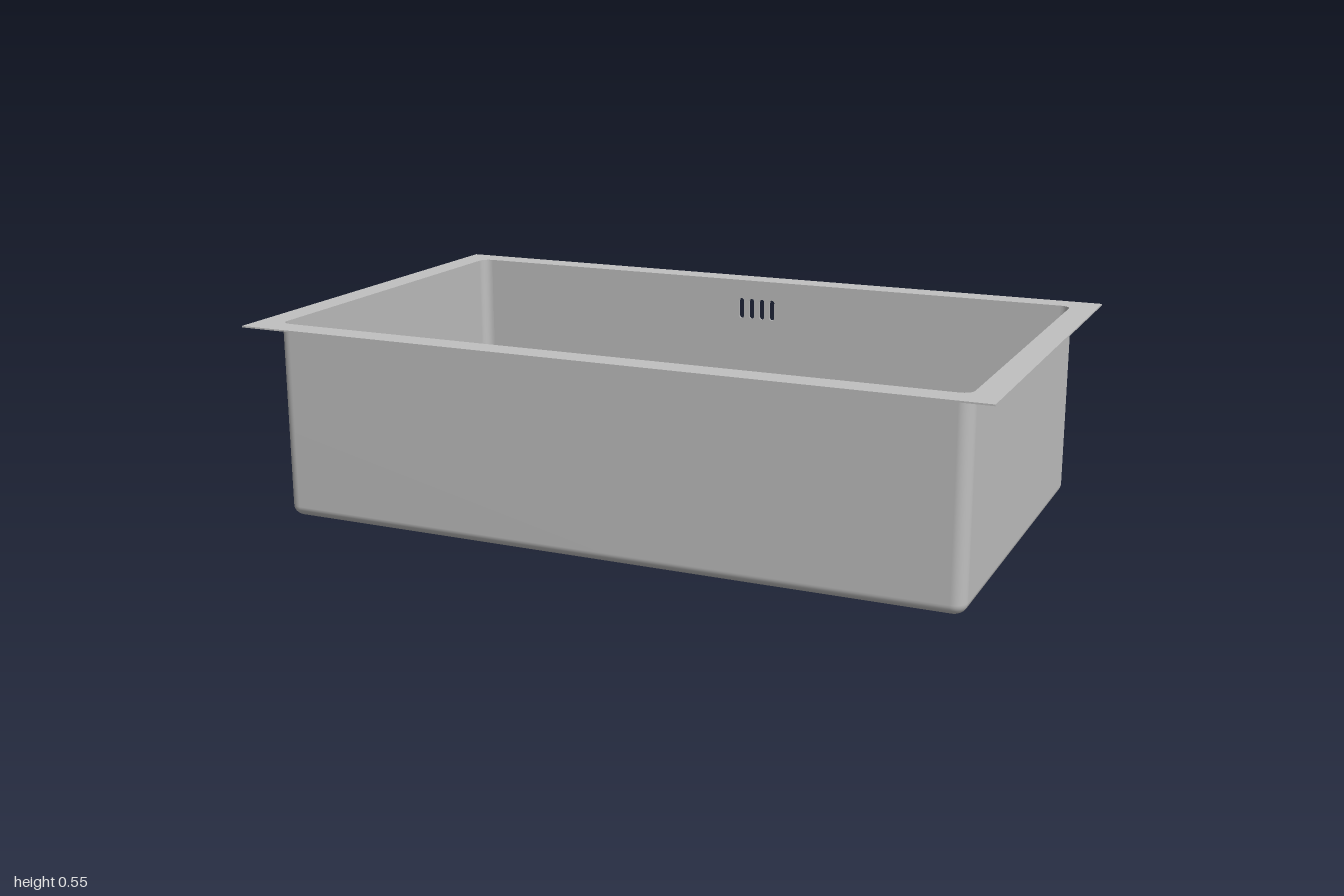
import * as THREE from 'three';

const TOP = 0.553, BASE = 0.022, T = 0.006;   // rim height, underside of floor, sheet thickness
const HX = 0.935, HZ = 0.535, R = 0.035;      // basin half sizes and corner radius
const FILLET = 0.028, RIM = 0.004;
const DRAIN_Z = -0.217, DRAIN_R = 0.154;
const ARC = 8;

// Rounded rectangle outline, inset from the basin's outside
function outline(inset) {
  const pts = [];
  const r = R - inset;
  [[1, 1], [-1, 1], [-1, -1], [1, -1]].forEach(([sx, sz], k) => {
    for (let i = 0; i <= ARC; i++) {
      const a = (k + i / ARC) * Math.PI / 2;
      pts.push(new THREE.Vector2(sx * (HX - R) + r * Math.cos(a), sz * (HZ - R) + r * Math.sin(a)));
    }
  });
  return pts;
}

// One skin of the basin: straight wall, then a fillet into the floor.
// The flat part of the back wall is left open for the slotted panel.
function basinSkin(inset, fillet, inward) {
  const rows = [[inset, TOP - RIM / 2]];
  for (let i = 0; i <= ARC; i++) {
    const a = i / ARC * Math.PI / 2;
    rows.push([inset + fillet * (1 - Math.cos(a)), BASE + FILLET - fillet * Math.sin(a)]);
  }
  const pos = [], index = [], n = 4 * (ARC + 1), backEdge = 3 * (ARC + 1) - 1;
  rows.forEach(([d, y]) => outline(d).forEach(p => pos.push(p.x, y, p.y)));
  for (let i = 0; i < rows.length - 1; i++) {
    for (let j = 0; j < n; j++) {
      if (i === 0 && j === backEdge) continue;
      const a = i * n + j, b = i * n + (j + 1) % n, c = a + n, d = b + n;
      if (inward) index.push(a, c, b, b, c, d);
      else index.push(a, b, c, b, d, c);
    }
  }
  const geo = new THREE.BufferGeometry();
  geo.setAttribute('position', new THREE.Float32BufferAttribute(pos, 3));
  geo.setIndex(index);
  geo.computeVertexNormals();
  return geo;
}

function rectShape(x0, y0, x1, y1) {
  return new THREE.Shape([[x0, y0], [x1, y0], [x1, y1], [x0, y1]].map(p => new THREE.Vector2(...p)));
}

function slotPath(x, y, w, h) {
  const p = new THREE.Path(), r = w / 2, s = h / 2 - r;
  p.absarc(x, y + s, r, 0, Math.PI, false);
  p.absarc(x, y - s, r, Math.PI, 2 * Math.PI, false);
  p.closePath();
  return p;
}

function slab(shape, depth) {
  return new THREE.ExtrudeGeometry(shape, { depth, bevelEnabled: false, curveSegments: 24 });
}

export function createModel() {
  const group = new THREE.Group();
  const steel = new THREE.MeshStandardMaterial({ color: 0xc0c0c0 });
  steel.name = 'brushed steel';
  const add = (geo, name) => {
    const mesh = new THREE.Mesh(geo, steel);
    mesh.name = name;
    group.add(mesh);
    return mesh;
  };

  // Flat mounting rim
  const rim = rectShape(-1, -0.6, 1, 0.6);
  rim.holes.push(new THREE.Path(outline(T)));
  add(slab(rim, RIM).rotateX(-Math.PI / 2), 'rim').position.y = TOP - RIM;

  // Basin walls, outside and inside
  add(basinSkin(0, FILLET, false), 'basinOutside');
  add(basinSkin(T, FILLET - T, true), 'basinInside');

  // Back wall panel with overflow slots
  const back = rectShape(-(HX - R), BASE + FILLET, HX - R, TOP - RIM / 2);
  for (let i = 0; i < 4; i++) back.holes.push(slotPath((i - 1.5) * 0.032, 0.468, 0.015, 0.06));
  add(slab(back, T), 'backWall').position.z = -HZ;

  // Floor with the drain opening
  const floor = new THREE.Shape(outline(FILLET));
  const opening = new THREE.Path();
  opening.absarc(0, -DRAIN_Z, DRAIN_R, 0, Math.PI * 2, true);
  floor.holes.push(opening);
  add(slab(floor, T).rotateX(-Math.PI / 2), 'floor').position.y = BASE;

  // Dished drain collar, one closed ring with crisp edges
  const sections = [
    [[0.122, 0.004], [0.128, 0.007], [0.145, 0.015], [DRAIN_R, BASE + T]],
    [[0.172, BASE], [0.168, 0.016], [0.155, 0.006], [0.142, 0.001], [0.13, 0]],
    [[0.13, 0], [0.122, 0]],
    [[0.122, 0], [0.122, 0.004]],
  ];
  sections.forEach((pts, i) => {
    // Reversed so the profile runs bottom to top on outer faces
    const profile = pts.map(p => new THREE.Vector2(...p));
    if (i > 0) profile.reverse();
    const geo = new THREE.LatheGeometry(profile, 40);
    if (i === 0 || i === 3) {
      // Faces toward the drain axis
      const idx = geo.index.array;
      for (let k = 0; k < idx.length; k += 3) [idx[k], idx[k + 1]] = [idx[k + 1], idx[k]];
      geo.computeVertexNormals();
    }
    add(geo, ['drainDish', 'drainCollar', 'drainLip', 'drainBore'][i]).position.z = DRAIN_Z;
  });

  return group;
}
